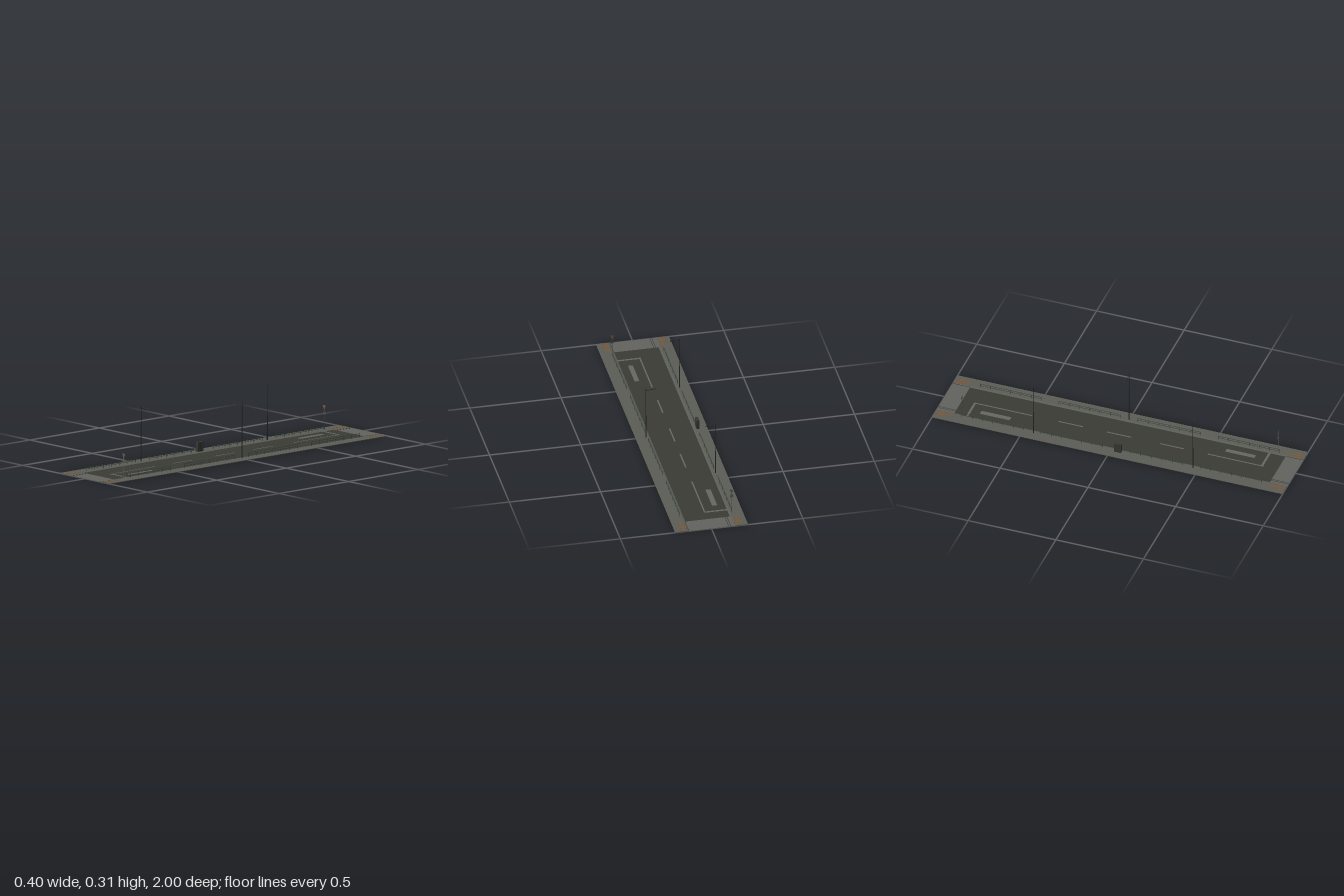
import * as THREE from 'three';

const mat = (name, color, side = THREE.FrontSide) => {
  const m = new THREE.MeshStandardMaterial({ color, side });
  m.name = name;
  return m;
};

export function createModel() {
  const root = new THREE.Group();
  root.name = 'street';
  const asphalt = mat('asphalt', 0x3b3b35, THREE.DoubleSide);
  const pavement = mat('pavement', 0x5c5c57);
  const crossing = mat('crossing', 0x62625d);
  const paint = mat('roadPaint', 0x666661);
  const tactile = mat('tactilePaving', 0x75583a);
  const metal = mat('darkMetal', 0x232624);
  const railing = mat('railingGreen', 0x36453c);
  const cabinet = mat('cabinetGrey', 0x363835);
  const signGrey = mat('signGrey', 0x5a5a56);
  const signFace = mat('signOrange', 0x75553a);

  const add = (parent, name, geometry, material, x = 0, y = 0, z = 0) => {
    const m = new THREE.Mesh(geometry, material);
    m.name = name;
    m.position.set(x, y, z);
    parent.add(m);
    return m;
  };
  const box = (parent, name, material, w, h, d, x, y, z) =>
    add(parent, name, new THREE.BoxGeometry(w, h, d), material, x, y, z);
  const rod = (parent, name, material, r0, r1, h, x, y, z, sides = 8) =>
    add(parent, name, new THREE.CylinderGeometry(r1, r0, h, sides), material, x, y + h / 2, z);
  // Thin plate from x0..x1 and z0..z1, lying on the ground
  const plate = (name, material, x0, x1, z0, z1, y = 0.001) =>
    box(root, name, material, x1 - x0, 0.0006, z1 - z0, (x0 + x1) / 2, y, (z0 + z1) / 2);
  const group = (name, x, y, z, turn = 0) => {
    const g = new THREE.Group();
    g.name = name;
    g.position.set(x, y, z);
    g.rotation.y = turn;
    root.add(g);
    return g;
  };

  // Road surface
  const road = add(root, 'road', new THREE.PlaneGeometry(0.25, 2), asphalt, 0, 0.0004, 0);
  road.rotation.x = -Math.PI / 2;

  // Pavements with sloping kerbs
  for (const s of [-1, 1]) {
    const profile = new THREE.Shape([[0.122, 0], [0.2, 0], [0.2, 0.003], [0.132, 0.003], [0.122, 0.0008]]
      .map(([x, y]) => new THREE.Vector2(s * x, y)));
    const g = new THREE.ExtrudeGeometry(profile, { depth: 2, bevelEnabled: false });
    add(root, 'pavement', g, pavement, 0, 0, -1);
  }

  // Crossings and tactile paving at both ends
  for (const e of [-1, 1]) {
    const span = (a, b) => (e > 0 ? [a, b] : [-b, -a]);
    plate('crossing', crossing, -0.125, 0.125, ...span(0.9, 1));
    for (const x of [-0.106, -0.095, 0.124])
      plate('gutterLine', asphalt, x - 0.0015, x + 0.0015, ...span(0.9, 1), 0.0018);
    for (const s of [-1, 1]) {
      const across = (a, b) => (s > 0 ? [a, b] : [-b, -a]);
      plate('tactileStrip', tactile, ...across(0.145, 0.158), ...span(0.9, 0.998), 0.0033);
      plate('tactileBar', tactile, ...across(0.13, 0.175), ...span(0.955, 0.972), 0.0036);
    }
  }

  // Road markings
  for (const [a, b] of [[-0.83, -0.5], [-0.35, -0.21], [-0.075, 0.065], [0.23, 0.365], [0.5, 0.82]])
    plate('centreLine', paint, -0.004, 0.004, a, b);
  plate('stopLine', paint, -0.122, 0, -0.833, -0.82);
  plate('stopLine', paint, 0, 0.122, 0.803, 0.816);
  plate('laneMark', paint, -0.081, -0.053, -0.77, -0.6);
  plate('laneMark', paint, 0.053, 0.079, 0.58, 0.747);

  // Railings along both pavements
  for (const s of [-1, 1])
    for (const [a, b] of [[-0.85, -0.5], [-0.4, -0.05], [0.05, 0.41], [0.51, 0.86]]) {
      const g = group('railing', s * 0.141, 0.003, (a + b) / 2);
      const len = b - a;
      for (const y of [0.011, 0.0215]) box(g, 'rail', railing, 0.0018, 0.0018, len, 0, y, 0);
      for (let i = 0; i <= 6; i++)
        rod(g, 'railPost', railing, 0.0013, 0.0013, 0.0225, 0, 0, -len / 2 + (len * i) / 6, 6);
    }

  // Street lamps, arm reaching over the road
  for (const [x, z] of [[-0.1435, 0.468], [-0.1435, -0.44], [0.1435, -0.001]]) {
    const g = group('streetLamp', x, 0, z, x > 0 ? Math.PI : 0);
    rod(g, 'lampBase', metal, 0.0032, 0.0024, 0.137, 0, 0, 0);
    rod(g, 'lampPole', metal, 0.0018, 0.0014, 0.171, 0, 0.137, 0);
    box(g, 'lampArm', metal, 0.052, 0.0022, 0.0022, 0.026, 0.2955, 0);
    box(g, 'lampTie', railing, 0.045, 0.0007, 0.0007, 0.0225, 0.2992, 0);
    const head = add(g, 'lampHead', new THREE.SphereGeometry(1, 12, 6, 0, Math.PI * 2, 0, Math.PI / 2),
      metal, 0.0495, 0.2958, 0);
    head.scale.set(0.0068, 0.0048, 0.0045);
    const lens = add(g, 'lampLens', new THREE.CircleGeometry(1, 12), signGrey, 0.0495, 0.2942, 0);
    lens.rotation.x = Math.PI / 2;
    lens.scale.set(0.0062, 0.004, 1);
  }

  // Road signs: a downward triangle over a five-sided plate
  const triangle = [[-0.0125, 0.138], [0, 0.113], [0.0125, 0.138]];
  const pentagon = [[-0.01, 0.09], [0.01, 0.09], [0.0085, 0.1], [0, 0.117], [-0.0085, 0.1]];
  const extrude = (pts, depth) => new THREE.ExtrudeGeometry(
    new THREE.Shape(pts.map(([x, y]) => new THREE.Vector2(x, y))), { depth, bevelEnabled: false });
  for (const s of [-1, 1]) {
    const g = group('roadSign', s * 0.143, 0, s * 0.85, s > 0 ? Math.PI : 0);
    rod(g, 'signPole', signGrey, 0.0014, 0.0014, 0.138, 0, 0, -0.0014);
    add(g, 'trianglePlate', extrude(triangle, 0.001), signGrey);
    add(g, 'triangleFace', extrude(triangle, 0.0004), signFace, 0, 0, 0.001);
    add(g, 'pentagonPlate', extrude(pentagon, 0.001), signGrey);
    add(g, 'pentagonFace', extrude([[-0.007, 0.0965], [0.007, 0.0965], [0, 0.112]], 0.0004), cabinet, 0, 0, 0.001);
  }

  // Utility cabinet
  box(root, 'cabinet', cabinet, 0.0145, 0.05, 0.039, -0.1475, 0.028, 0.042);
  box(root, 'cabinetLid', cabinet, 0.0165, 0.002, 0.042, -0.1475, 0.054, 0.042);
  box(root, 'cabinetSeam', metal, 0.0004, 0.044, 0.001, -0.1401, 0.028, 0.042);

  return root;
}
